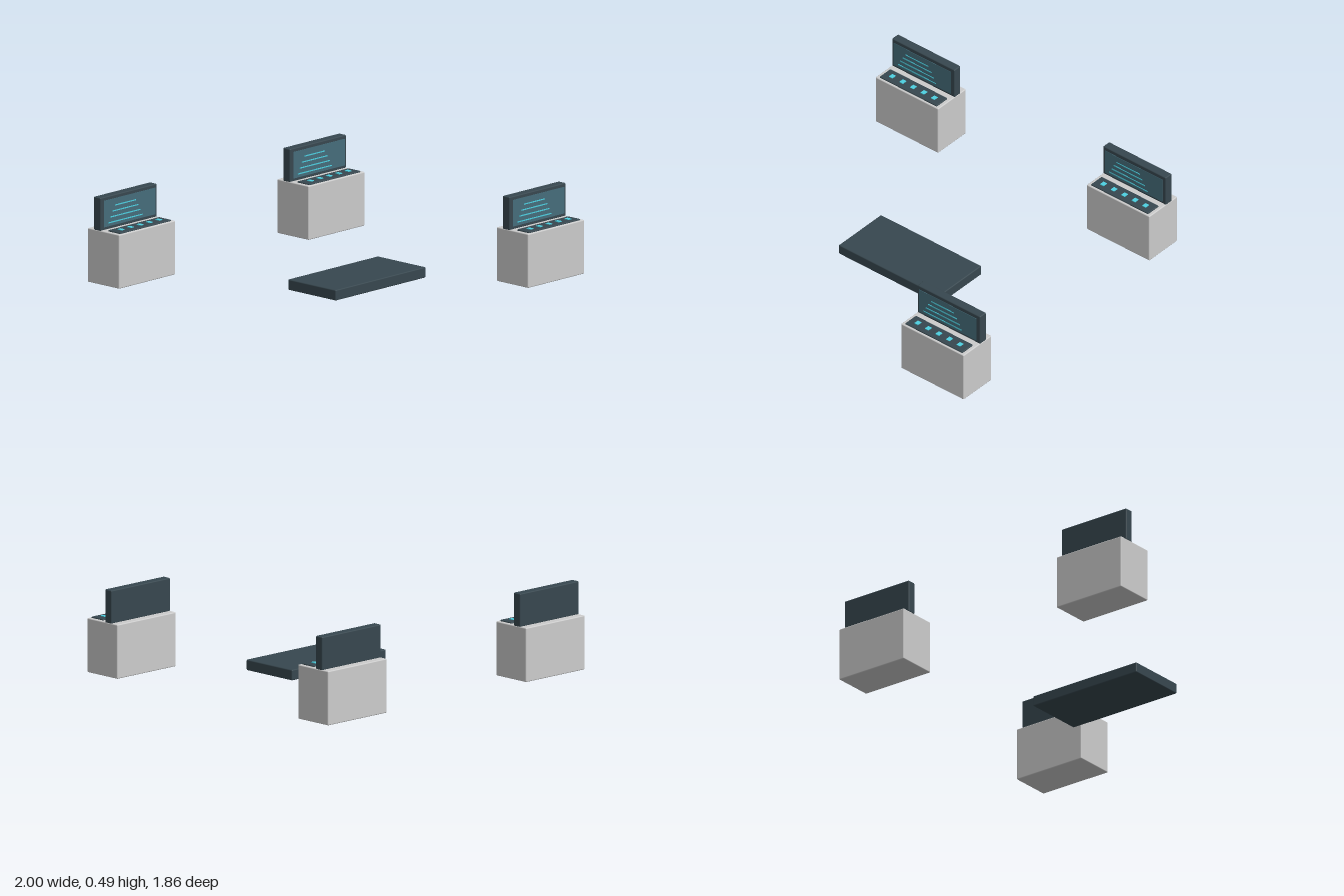
import * as THREE from 'three';
import { RoundedBoxGeometry } from 'three/addons/geometries/RoundedBoxGeometry.js';

const mat = (color) => new THREE.MeshStandardMaterial({ color });
const GREY = mat(0xcccccc);
const DARK = mat(0x37474f);
const GLASS = mat(0x456d7b);
const GLOW = mat(0x4dd0e1);

// Box with centre x, bottom y and centre z; optional softened edges
function block(parent, name, material, [w, h, d], [x, y, z], radius = 0) {
  const geometry = radius
    ? new RoundedBoxGeometry(w, h, d, 2, radius)
    : new THREE.BoxGeometry(w, h, d);
  const mesh = new THREE.Mesh(geometry, material);
  mesh.name = name;
  mesh.position.set(x, y + h / 2, z);
  parent.add(mesh);
  return mesh;
}

function createConsole(name, x, z) {
  const unit = new THREE.Group();
  unit.name = name;
  unit.position.set(x, 0, z);

  // Cabinet and upright monitor
  block(unit, 'cabinet', GREY, [0.45, 0.305, 0.238], [0, 0, 0], 0.006);
  block(unit, 'monitorCase', DARK, [0.45, 0.188, 0.052], [0, 0.302, -0.047], 0.006);
  block(unit, 'screen', GLASS, [0.41, 0.15, 0.002], [0, 0.322, -0.014]);

  // Text-like glowing rows, widening downwards
  [0.166, 0.206, 0.24, 0.272].forEach((width, i) => {
    block(unit, 'screenLine', GLOW, [width, 0.006, 0.002], [-0.037, 0.43 - i * 0.0305, -0.012]);
  });

  // Keyboard with a row of lit keys
  block(unit, 'keyboard', DARK, [0.41, 0.012, 0.092], [0, 0.3, 0.061], 0.005);
  for (let i = -2; i <= 2; i++) {
    block(unit, 'key', GLOW, [0.025, 0.006, 0.03], [i * 0.0755, 0.31, 0.063]);
  }
  return unit;
}

export function createModel() {
  const model = new THREE.Group();
  model.name = 'controlRoom';

  model.add(
    createConsole('backRightConsole', -0.775, -0.812),
    createConsole('backLeftConsole', 0.74, -0.812),
    createConsole('frontLeftConsole', 0.775, 0.808),
  );

  // Low central platform
  block(model, 'platform', DARK, [0.72, 0.06, 0.36], [-0.02, 0, 0.174], 0.006);
  return model;
}
